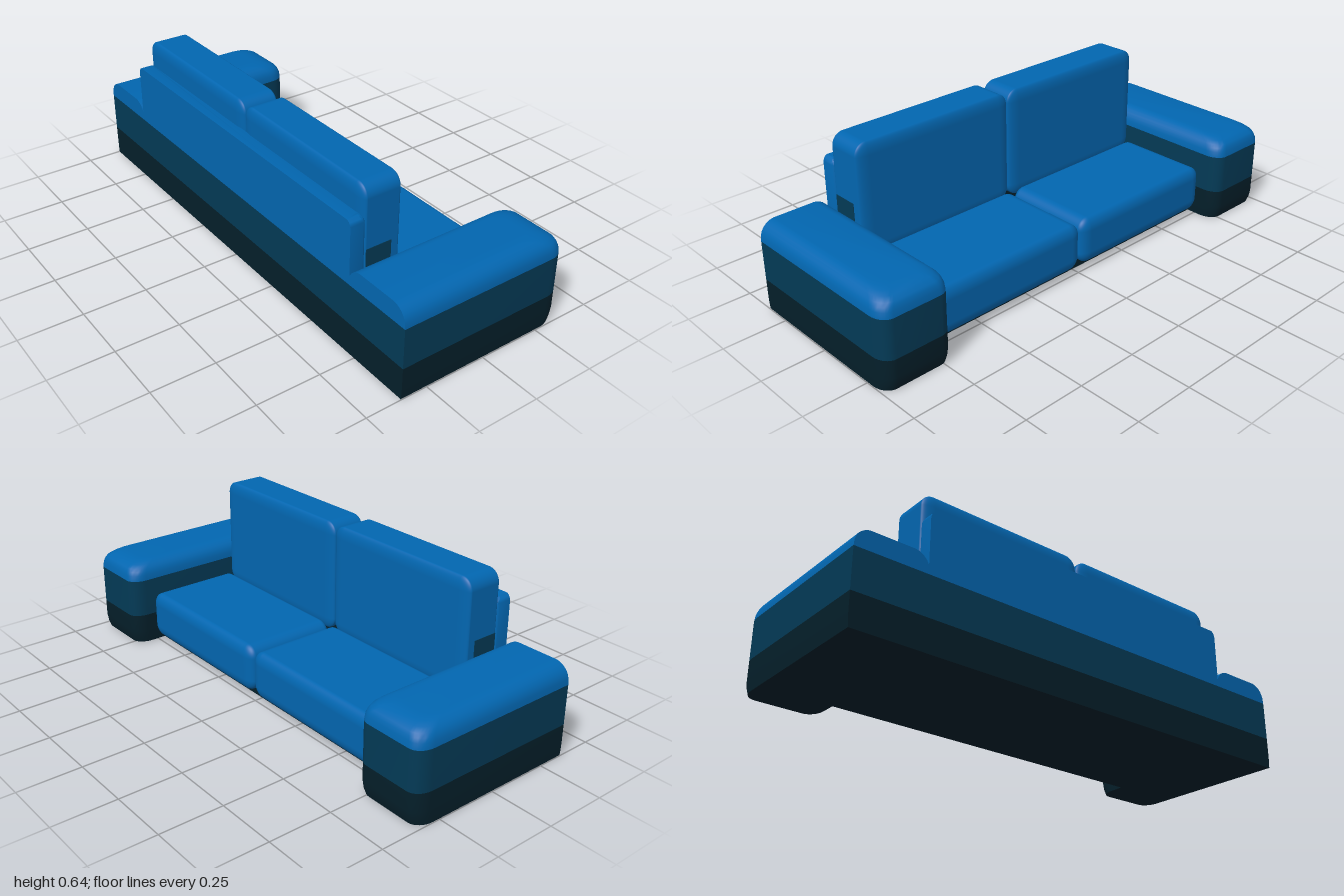
import * as THREE from 'three';
import { toCreasedNormals } from 'three/addons/utils/BufferGeometryUtils.js';
import { RoundedBoxGeometry } from 'three/addons/geometries/RoundedBoxGeometry.js';

const END = 0.357; // flat rear face of the whole sofa
const mat = (name, color) => new THREE.MeshStandardMaterial({ name, color });

// Horizontal outline with two rounded corners towards -z and a square end at z = END.
// w: half width, z0: rounded end, rx and rz: corner radii.
function outline({ w, z0, rx, rz }, y) {
  const n = 8, half = [[w, y, END]];
  for (let k = 0; k <= n; k++) {
    const a = (k / n) * Math.PI / 2;
    half.push([w - rx + rx * Math.cos(a), y, z0 + rz - rz * Math.sin(a)]);
  }
  return [...half, ...half.map(([x, h, z]) => [-x, h, z]).reverse()];
}

// Skin through levels [y, side inset, end inset] from bottom to top, with optional caps.
function loft(shape, levels, capBottom, capTop) {
  const rings = levels.map(([y, i, j]) => outline({ ...shape, w: shape.w - i, z0: shape.z0 + j }, y));
  const n = rings[0].length, idx = [];
  for (let r = 0; r < rings.length - 1; r++) {
    for (let k = 0; k < n; k++) {
      const a = r * n + k, b = r * n + (k + 1) % n;
      idx.push(a, b, b + n, a, b + n, a + n);
    }
  }
  const top = (rings.length - 1) * n;
  for (let k = 1; k < n - 1; k++) {
    if (capBottom) idx.push(0, k + 1, k);
    if (capTop) idx.push(top, top + k, top + k + 1);
  }
  const g = new THREE.BufferGeometry();
  g.setAttribute('position', new THREE.Float32BufferAttribute(rings.flat(2), 3));
  g.setIndex(idx);
  return toCreasedNormals(g, 0.8);
}

export function createModel() {
  const sofa = new THREE.Group();
  sofa.name = 'sofa';
  const blue = mat('blueFabric', 0x0266b0);
  const teal = mat('darkTealBand', 0x033a56);
  const dark = mat('blackTealBase', 0x041f2a);

  const add = (parent, name, geo, material, x = 0, y = 0, z = 0) => {
    const m = new THREE.Mesh(geo, material);
    m.name = name;
    m.position.set(x, y, z);
    parent.add(m);
  };
  const block = (name, material, x0, x1, y0, y1, z0, z1) =>
    add(sofa, name, new THREE.BoxGeometry(x1 - x0, y1 - y0, z1 - z0), material,
      (x0 + x1) / 2, (y0 + y1) / 2, (z0 + z1) / 2);
  // Soft cushion whose edge radius is r in x and y, and r / flat in z
  const cushion = (name, x0, x1, y0, y1, z0, z1, r, flat) => {
    const g = new RoundedBoxGeometry(x1 - x0, y1 - y0, (z1 - z0) * flat, 6, r);
    g.scale(1, 1, 1 / flat);
    add(sofa, name, g, blue, (x0 + x1) / 2, (y0 + y1) / 2, (z0 + z1) / 2);
  };

  // Arms in three colour bands
  const armShape = { w: 0.145, z0: -END, rx: 0.05, rz: 0.065 };
  const baseGeo = loft(armShape, [[0, 0.003, 0.014], [0.025, 0.001, 0.005], [0.055, 0, 0], [0.127, 0, 0]], true, false);
  const bandGeo = loft(armShape, [[0.127, 0, 0], [0.285, 0, 0]], false, false);
  const topGeo = loft(armShape, [
    [0.285, 0, 0], [0.308, 0.002, 0.003], [0.323, 0.007, 0.008], [0.335, 0.014, 0.015],
    [0.346, 0.025, 0.034], [0.354, 0.038, 0.056], [0.358, 0.048, 0.08], [0.36, 0.06, 0.105],
  ], false, true);
  for (const s of [-1, 1]) {
    const arm = new THREE.Group();
    arm.name = s > 0 ? 'leftArm' : 'rightArm';
    arm.position.x = s * 0.855;
    add(arm, 'armBase', baseGeo, dark);
    add(arm, 'armBand', bandGeo, teal);
    add(arm, 'armTop', topGeo, blue);
    sofa.add(arm);
  }

  // Floor of the frame and the lower bands of the back
  block('seatBase', dark, -0.716, 0.716, 0, 0.04, -0.215, END);
  block('backBase', dark, -0.716, 0.716, 0.04, 0.127, 0.29, END);
  block('backBand', teal, -0.716, 0.716, 0.127, 0.285, 0.29, END);

  // Upper back panel with soft top and inner edges
  const panelLevels = [[0.285, 0, 0]];
  for (let k = 0; k <= 6; k++) {
    const a = (k / 6) * Math.PI / 2, c = 1 - Math.cos(a);
    panelLevels.push([0.5 + 0.03 * Math.sin(a), 0.02 * c, 0.014 * c]);
  }
  add(sofa, 'backPanel', loft({ w: 0.715, z0: 0.29, rx: 0.02, rz: 0.016 }, panelLevels, false, true), blue);

  // Seat and back cushions, one pair per side
  for (const s of [-1, 1]) {
    const x0 = s > 0 ? 0.002 : -0.714, x1 = s > 0 ? 0.714 : -0.002;
    cushion('seatCushion', x0, x1, 0.03, 0.225, -0.267, 0.137, 0.05, 1.6);
    cushion('backCushion', x0, x1, 0.18, 0.638, 0.14, 0.305, 0.05, 2.8);
    block('cushionEndPatch', teal, s * 0.714 - 0.002, s * 0.714 + 0.002, 0.24, 0.397, 0.185, 0.29);
  }
  return sofa;
}
